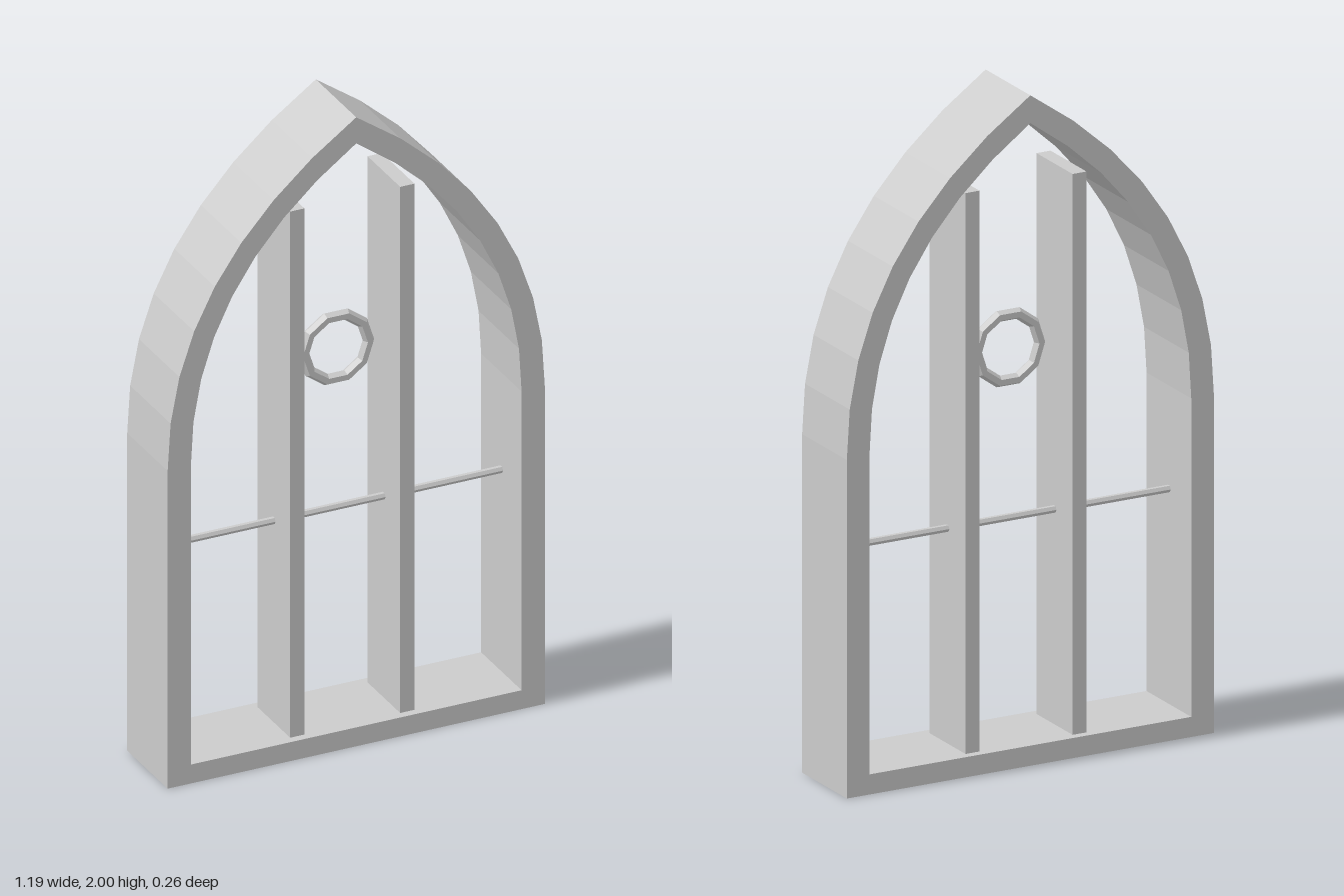
import * as THREE from 'three';

const DEPTH = 0.26;

// Pointed arch outline: straight jambs, then a curve on each side to the apex
function archOutline(path, halfWidth, bottom, spring, control, apex) {
  path.moveTo(-halfWidth, bottom);
  path.lineTo(halfWidth, bottom);
  path.lineTo(halfWidth, spring);
  path.quadraticCurveTo(halfWidth, control, 0, apex);
  path.quadraticCurveTo(-halfWidth, control, -halfWidth, spring);
  path.lineTo(-halfWidth, bottom);
  return path;
}

export function createModel() {
  const model = new THREE.Group();
  model.name = 'archedWindow';
  const material = new THREE.MeshStandardMaterial({ color: 0xcccccc, flatShading: true });

  const add = (name, geometry, x, y, z) => {
    const mesh = new THREE.Mesh(geometry, material);
    mesh.name = name;
    mesh.position.set(x, y, z);
    model.add(mesh);
    return mesh;
  };

  // Outer frame with the opening cut through it
  const outline = archOutline(new THREE.Shape(), 0.593, 0, 1.01, 1.62, 2);
  outline.holes.push(archOutline(new THREE.Path(), 0.52, 0.06, 1.01, 1.575, 1.917));
  const frame = new THREE.ExtrudeGeometry(outline, {
    depth: DEPTH, bevelEnabled: false, curveSegments: 8,
  });
  add('frame', frame, 0, 0, -DEPTH / 2);

  // Two upright mullions standing on the sill
  for (const side of [-1, 1]) {
    add(side > 0 ? 'leftMullion' : 'rightMullion',
      new THREE.BoxGeometry(0.045, 1.68, 0.21), side * 0.173, 0.893, 0);
  }

  // Thin cross bar running from jamb to jamb
  const bar = new THREE.CylinderGeometry(0.011, 0.011, 1.05, 6);
  bar.rotateZ(Math.PI / 2);
  add('crossBar', bar, 0, 0.703, 0);

  // Ten-sided ring between the mullions
  add('ring', new THREE.TorusGeometry(0.102, 0.0175, 6, 10), 0, 1.21, 0);

  return model;
}
